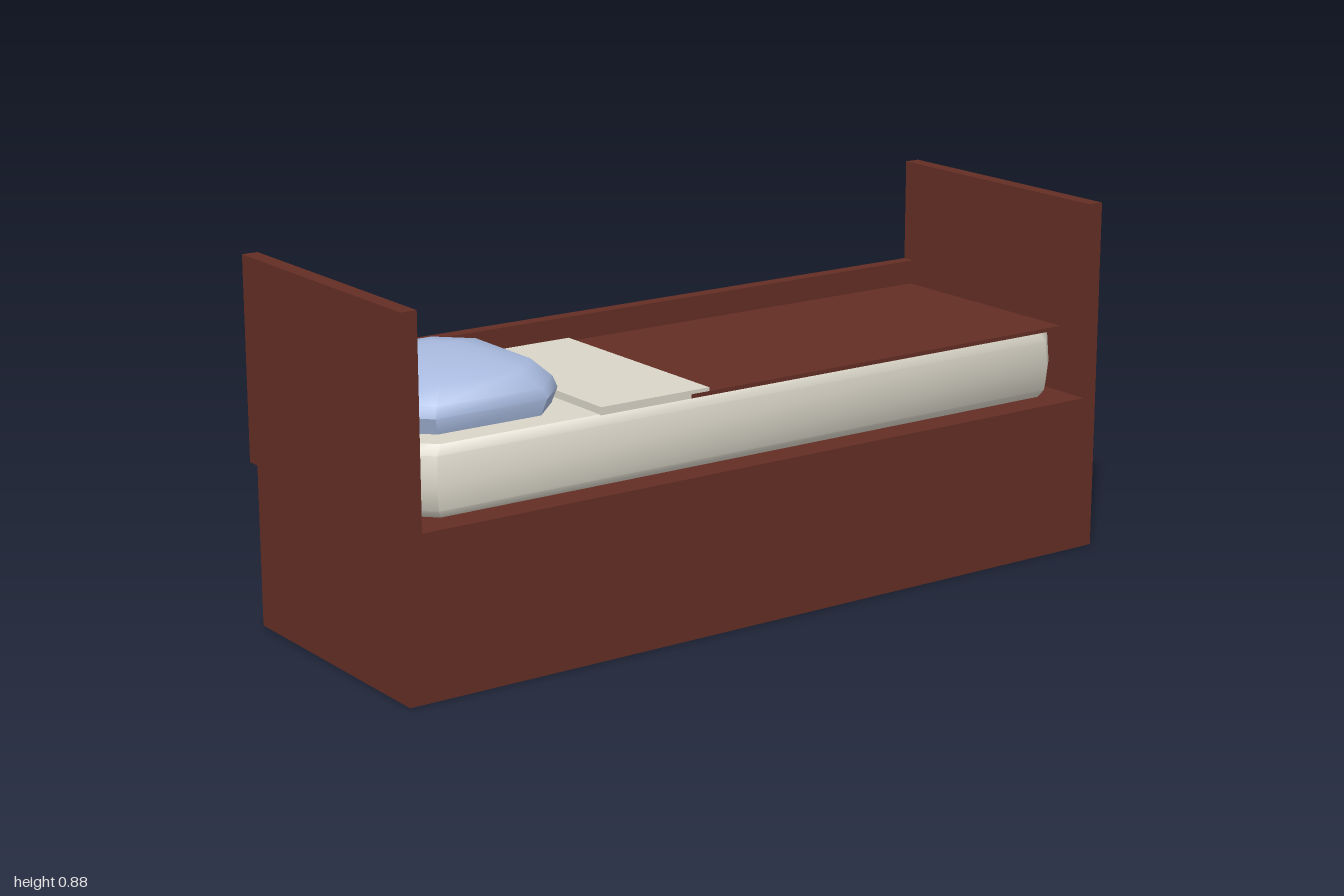
import * as THREE from 'three';
import { toCreasedNormals } from 'three/addons/utils/BufferGeometryUtils.js';

const paint = (name, color) => new THREE.MeshStandardMaterial({ name, color, side: THREE.DoubleSide });

// Stacked octagonal rings: each ring is [y, half width, half depth, corner chamfer]
function loft(rings, crease) {
  const pos = [], idx = [], n = 8, last = (rings.length - 1) * n;
  for (const [y, w, d, c] of rings) {
    const corners = [[w, d - c], [w - c, d], [c - w, d], [-w, d - c],
      [-w, c - d], [c - w, -d], [w - c, -d], [w, c - d]];
    for (const [x, z] of corners) pos.push(x, y, z);
  }
  for (let r = 0; r < rings.length - 1; r++) {
    for (let i = 0; i < n; i++) {
      const a = r * n + i, b = r * n + (i + 1) % n;
      idx.push(a, a + n, b, b, a + n, b + n);
    }
  }
  for (let i = 1; i < n - 1; i++) {
    idx.push(0, i, i + 1);
    idx.push(last, last + i + 1, last + i);
  }
  const g = new THREE.BufferGeometry();
  g.setAttribute('position', new THREE.Float32BufferAttribute(pos, 3));
  g.setIndex(idx);
  return toCreasedNormals(g, crease);
}

export function createModel() {
  const bed = new THREE.Group();
  bed.name = 'bed';
  const wood = paint('dark wood', 0x642e24);
  const cover = paint('blanket brown', 0x642e24);
  const linen = paint('linen', 0xd9d5c8);
  const blue = paint('pillow blue', 0xa9bbe0);

  const add = (name, geometry, material) => {
    const m = new THREE.Mesh(geometry, material);
    m.name = name;
    bed.add(m);
    return m;
  };
  // Box given by its extents
  const box = (name, material, x0, x1, y0, y1, z0, z1) => {
    const m = add(name, new THREE.BoxGeometry(x1 - x0, y1 - y0, z1 - z0), material);
    m.position.set((x0 + x1) / 2, (y0 + y1) / 2, (z0 + z1) / 2);
    return m;
  };

  // Hollow base, open underneath: drop the bottom face of the box
  const base = box('base', wood, -1, 1, 0, 0.39, -0.317, 0.353);
  const index = Array.from(base.geometry.index.array);
  index.splice(18, 6);
  base.geometry.setIndex(index);
  base.geometry.clearGroups();

  // Head and foot boards, back rail and drawer front
  box('headboard', wood, -1, -0.96, 0.39, 0.883, -0.353, 0.353);
  box('footboard', wood, 0.96, 1, 0.39, 0.883, -0.353, 0.353);
  box('backRail', wood, -0.96, 0.96, 0.39, 0.622, -0.353, -0.317);
  box('drawerFront', wood, -0.89, 0.89, 0.05, 0.355, -0.353, -0.317);

  // Mattress with chamfered corners and softly bulging sides
  const mattress = add('mattress', loft([
    [0.392, 0.935, 0.285, 0.065],
    [0.41, 0.946, 0.296, 0.065],
    [0.465, 0.95, 0.3, 0.065],
    [0.535, 0.946, 0.296, 0.065],
    [0.558, 0.932, 0.285, 0.065],
  ], 0.9), linen);
  mattress.position.z = -0.003;

  // Blanket and the turned-down sheet
  box('blanket', cover, -0.2, 0.934, 0.557, 0.567, -0.295, 0.288);
  box('sheetFold', linen, -0.45, -0.15, 0.557, 0.576, -0.295, 0.288);

  // Pillow: steep rim with a low domed top
  const pillow = add('pillow', loft([
    [0.562, 0.215, 0.228, 0.08],
    [0.6, 0.225, 0.238, 0.08],
    [0.625, 0.217, 0.23, 0.08],
    [0.664, 0.18, 0.192, 0.075],
    [0.679, 0.1, 0.11, 0.045],
    [0.692, 0.008, 0.008, 0.003],
  ], 0.75), blue);
  pillow.position.set(-0.704, 0, -0.003);

  return bed;
}
